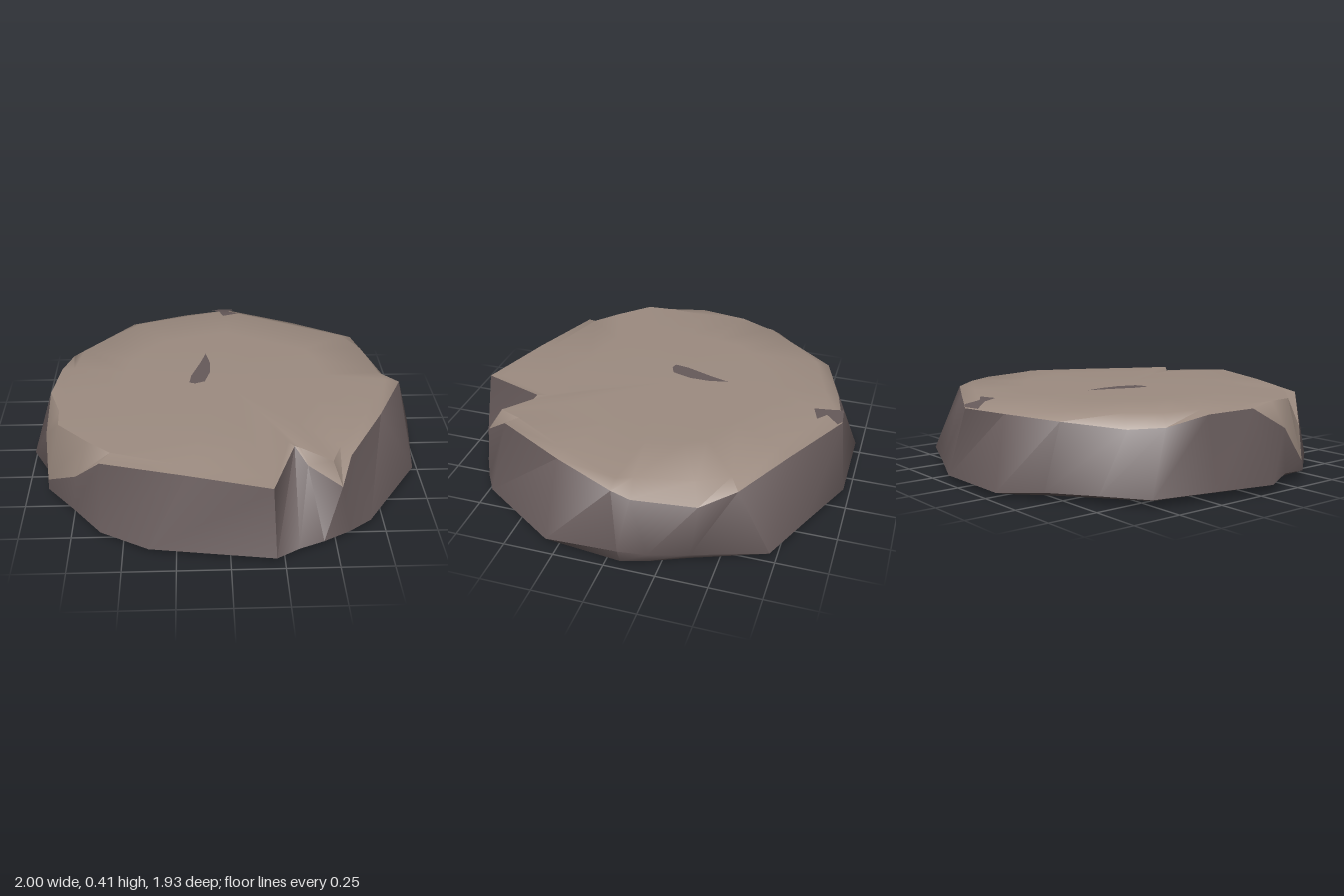
import * as THREE from 'three';
import { toCreasedNormals } from 'three/addons/utils/BufferGeometryUtils.js';

// Columns around the slab: widest point x, z, y, then worn-top border x, z, y
const COLUMNS = [
  [1.0, -0.07, 0.1, 0.92, -0.02, 0.375],
  [0.96, 0.3, 0.05, 0.77, 0.3, 0.38],
  [0.68, 0.71, 0.04, 0.57, 0.66, 0.38],
  [0.57, 0.78, 0.03, 0.52, 0.78, 0.29],
  [0.44, 0.85, 0.03, 0.37, 0.66, 0.33],
  [0.32, 0.9, 0.03, 0.31, 0.6, 0.4],
  [0.21, 0.965, 0.03, 0.19, 0.92, 0.39],
  [-0.38, 0.88, 0.03, -0.2, 0.8, 0.385],
  [-0.61, 0.75, 0.03, -0.6, 0.67, 0.37],
  [-0.75, 0.58, 0.04, -0.73, 0.56, 0.22],
  [-0.89, 0.41, 0.04, -0.89, 0.4, 0.09],
  [-0.91, 0.26, 0.05, -0.9, 0.26, 0.27],
  [-1.0, 0.08, 0.04, -0.89, 0.05, 0.385],
  [-0.93, -0.22, 0.04, -0.86, -0.2, 0.38],
  [-0.86, -0.53, 0.04, -0.82, -0.42, 0.34],
  [-0.66, -0.67, 0.04, -0.71, -0.55, 0.33],
  [-0.46, -0.82, 0.04, -0.5, -0.76, 0.36],
  [-0.29, -0.97, 0.03, -0.2, -0.86, 0.365],
  [0.14, -0.97, 0.03, 0.05, -0.92, 0.365],
  [0.44, -0.84, 0.03, 0.42, -0.73, 0.37],
  [0.74, -0.72, 0.04, 0.74, -0.56, 0.36],
  [0.88, -0.38, 0.06, 0.83, -0.4, 0.3],
  [0.96, -0.2, 0.08, 0.89, -0.1, 0.32],
];

// Rings from the middle of the underside to the middle of the top
function stonePoints([wx, wz, wy, tx, tz, ty]) {
  return [
    [0, 0.005, 0],
    [wx * 0.95, Math.max(0, 0.01 - 0.015 * wx), wz * 0.95],
    [wx, wy, wz],
    [tx, ty, tz],
    [tx * 0.92, 0.393, tz * 0.92],
    [tx * 0.6, 0.403, tz * 0.6],
    [0, 0.406, 0],
  ];
}

function stoneGeometry() {
  const grid = COLUMNS.map(stonePoints);
  const n = grid.length;
  const rings = grid[0].length;
  const indices = [];
  let sideCount = 0;
  for (let r = 0; r < rings - 1; r++) {
    for (let i = 0; i < n; i++) {
      const j = (i + 1) % n;
      const a = i * rings + r;
      const b = j * rings + r;
      if (r > 0) indices.push(a, a + 1, b);
      if (r < rings - 2) indices.push(a + 1, b + 1, b);
      else indices.splice(-3, 3, a, a + 1, b);
    }
    if (r === 2) sideCount = indices.length;
  }
  const geometry = new THREE.BufferGeometry();
  geometry.setAttribute('position', new THREE.Float32BufferAttribute(grid.flat(2), 3));
  geometry.setIndex(indices);
  geometry.addGroup(0, sideCount, 0);
  geometry.addGroup(sideCount, indices.length - sideCount, 1);
  return toCreasedNormals(geometry, 0.95);
}

// Thin stain lying on the top, outlined in x, z
function stain(name, outline, heightAt, material) {
  const shape = new THREE.Shape(outline.map(([x, z]) => new THREE.Vector2(x, -z)));
  const geometry = new THREE.ShapeGeometry(shape).rotateX(-Math.PI / 2);
  const p = geometry.attributes.position;
  for (let i = 0; i < p.count; i++) p.setY(i, heightAt(p.getZ(i)));
  geometry.computeVertexNormals();
  const mesh = new THREE.Mesh(geometry, material);
  mesh.name = name;
  return mesh;
}

export function createModel() {
  const darkStone = new THREE.MeshStandardMaterial({ color: 0x665a5a });
  darkStone.name = 'dark stone';
  const paleStone = new THREE.MeshStandardMaterial({ color: 0x9d8c81 });
  paleStone.name = 'pale stone';

  const group = new THREE.Group();
  group.name = 'flatStone';

  // Slab with dark sides and underside, pale worn top
  const slab = new THREE.Mesh(stoneGeometry(), [darkStone, paleStone]);
  slab.name = 'stoneSlab';
  group.add(slab);

  // Dark marks on the worn top
  group.add(stain('centreStain',
    [[-0.09, -0.3], [-0.07, -0.2], [-0.07, -0.1], [-0.1, 0], [-0.15, 0.02], [-0.18, 0.01], [-0.17, -0.06], [-0.12, -0.2]],
    () => 0.409, darkStone));
  group.add(stain('backStain',
    [[-0.05, -0.91], [0.05, -0.92], [0.09, -0.9], [0.05, -0.84], [0.11, -0.8], [0.02, -0.77], [0, -0.84]],
    (z) => 0.403 + Math.min(0, 0.32 * (z + 0.82)), darkStone));
  return group;
}
